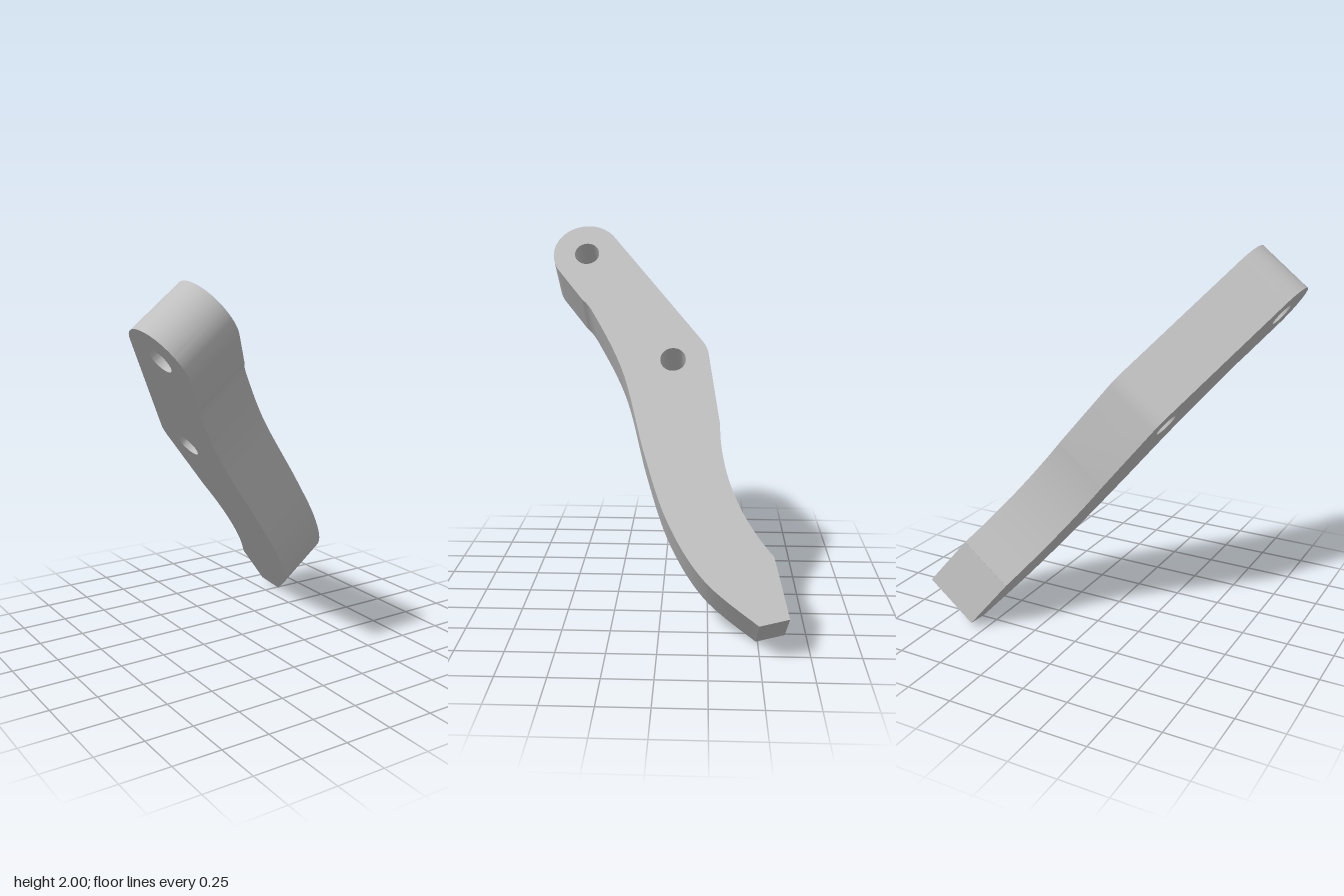
import * as THREE from 'three';
import { toCreasedNormals } from 'three/addons/utils/BufferGeometryUtils.js';

const THICKNESS = 0.324;
const HOLE_RADIUS = 0.069;
const END = new THREE.Vector2(-0.45, 2.11); // centre of the rounded end

// Flat outline of the lever: tip at the bottom, rounded pivot end at the top
function leverShape() {
  const s = new THREE.Shape();
  // chamfered tip
  s.moveTo(0.49, 0);
  s.lineTo(0.637, 0.036);
  s.lineTo(0.57, 0.339);
  // hollow back edge, then the shoulder with a softened corner
  s.absarc(1.385, 1.05, 1.08, Math.PI + 0.717, Math.PI, true);
  s.lineTo(0.244, 1.465);
  s.quadraticCurveTo(0.237, 1.511, 0.207, 1.551);
  // rounded end
  s.absarc(END.x, END.y, 0.19, 0.6435, 0.6435 + Math.PI, false);
  // S-shaped front edge back to the tip
  s.lineTo(-0.4625, 1.81);
  s.splineThru([
    [-0.388, 1.71], [-0.214, 1.353], [-0.082, 0.873],
    [0.045, 0.509], [0.227, 0.218], [0.49, 0],
  ].map(([x, y]) => new THREE.Vector2(x, y)));

  // two pin holes
  for (const [x, y] of [[END.x, END.y], [0.053, 1.432]]) {
    const hole = new THREE.Path();
    hole.absarc(x, y, HOLE_RADIUS, 0, Math.PI * 2, true);
    s.holes.push(hole);
  }
  return s;
}

export function createModel() {
  const group = new THREE.Group();
  group.name = 'lever';

  const greyMetal = new THREE.MeshStandardMaterial({ color: 0xbfbfbf });
  greyMetal.name = 'greyMetal';

  const plate = new THREE.ExtrudeGeometry(leverShape(), {
    depth: THICKNESS, bevelEnabled: false, curveSegments: 24,
  });

  // Lean the plate: its length rises towards -x, its face looks up towards +x
  const along = new THREE.Vector3(-0.6245, 0.781, 0).normalize();
  const across = new THREE.Vector3(0, 0, -1);
  const normal = new THREE.Vector3().crossVectors(across, along);
  plate.applyMatrix4(new THREE.Matrix4().makeBasis(across, along, normal).setPosition(0.592, 0.002, 0));

  const lever = new THREE.Mesh(toCreasedNormals(plate, 0.4), greyMetal);
  lever.name = 'leverArm';
  group.add(lever);
  return group;
}
